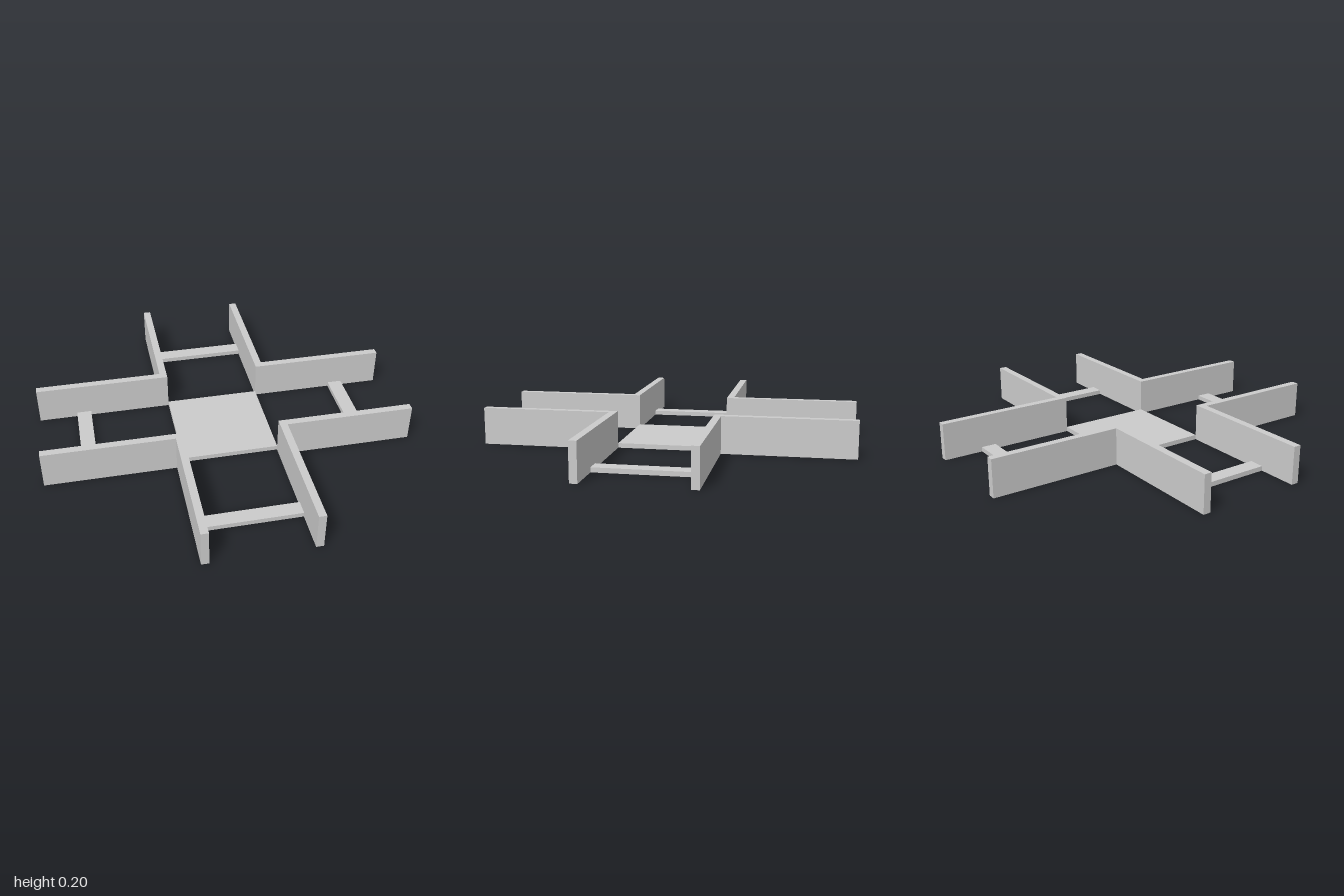
import * as THREE from 'three';

const INNER = 0.26;   // half width of the channels
const OUTER = 0.3;    // outer face of the walls
const REACH = 1;      // end of each arm
const WALL_H = 0.2;
const FLOOR_H = 0.025;

export function createModel() {
  const group = new THREE.Group();
  group.name = 'crossJunction';
  const material = new THREE.MeshStandardMaterial({ color: 0xcccccc, flatShading: true });

  const add = (name, geometry, angle = 0) => {
    const mesh = new THREE.Mesh(geometry, material);
    mesh.name = name;
    mesh.rotation.y = angle;
    group.add(mesh);
  };

  // L-shaped corner wall, standing upright
  const corner = new THREE.Shape([
    [INNER, INNER], [REACH, INNER], [REACH, OUTER],
    [OUTER, OUTER], [OUTER, REACH], [INNER, REACH],
  ].map(([x, y]) => new THREE.Vector2(x, y)));
  const wall = new THREE.ExtrudeGeometry(corner, { depth: WALL_H, bevelEnabled: false });
  wall.rotateX(-Math.PI / 2);

  // Flat tie bar across the mouth of an arm
  const bar = new THREE.BoxGeometry(2 * INNER, FLOOR_H, 0.08);
  bar.translate(0, FLOOR_H / 2, 0.75);

  // Four corners and four arms, a quarter turn apart
  for (let i = 0; i < 4; i++) {
    add(`cornerWall${i + 1}`, wall, i * Math.PI / 2);
    add(`tieBar${i + 1}`, bar, i * Math.PI / 2);
  }

  // Square plate in the middle
  const plate = new THREE.BoxGeometry(2 * INNER, FLOOR_H, 2 * INNER);
  plate.translate(0, FLOOR_H / 2, 0);
  add('centrePlate', plate);

  return group;
}
